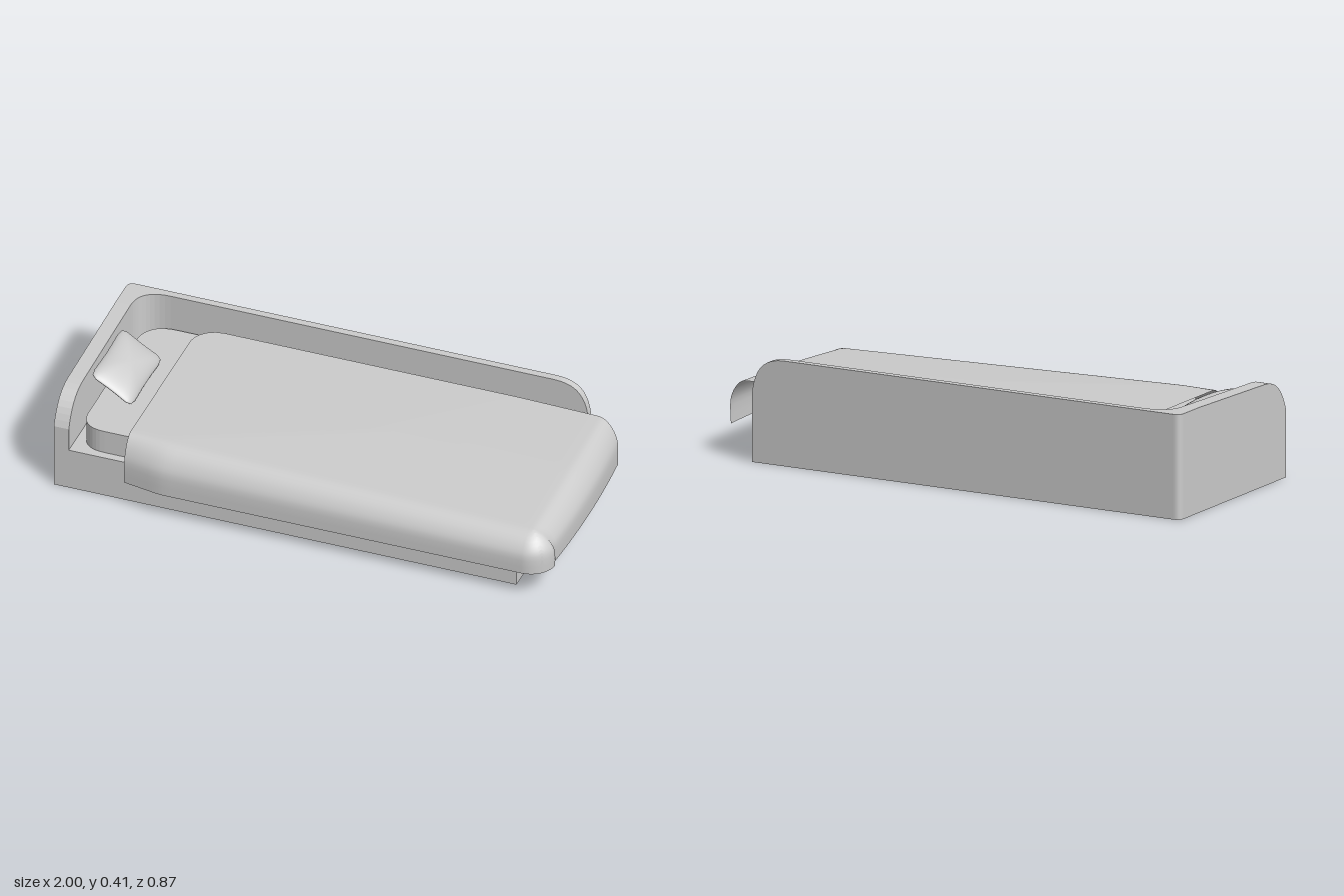
import * as THREE from 'three';

const material = new THREE.MeshStandardMaterial({ color: 0xcccccc });
const clothMaterial = new THREE.MeshStandardMaterial({ color: 0xcccccc, side: THREE.DoubleSide });

function add(group, name, geometry, mat = material) {
  const mesh = new THREE.Mesh(geometry, mat);
  mesh.name = name;
  group.add(mesh);
  return mesh;
}

// Extrude a floor plan (drawn with y = -z) from height y0 to y1
function extrudePlan(shape, y0, y1) {
  const g = new THREE.ExtrudeGeometry(shape, { depth: y1 - y0, bevelEnabled: false, curveSegments: 10 });
  return g.rotateX(-Math.PI / 2).translate(0, y0, 0);
}

// Plan rectangle with separate corner radii: head-front, foot-front, foot-back, head-back
function planRect(x0, x1, z0, z1, [hf, ff, fb, hb]) {
  const s = new THREE.Shape();
  const yf = -z1, yb = -z0;
  s.moveTo(x0 + hf, yf);
  s.lineTo(x1 - ff, yf);
  if (ff) s.quadraticCurveTo(x1, yf, x1, yf + ff);
  s.lineTo(x1, yb - fb);
  if (fb) s.quadraticCurveTo(x1, yb, x1 - fb, yb);
  s.lineTo(x0 + hb, yb);
  if (hb) s.quadraticCurveTo(x0, yb, x0, yb - hb);
  if (hf) {
    s.lineTo(x0, yf + hf);
    s.quadraticCurveTo(x0, yf, x0 + hf, yf);
  }
  return s;
}

// Thin blanket: flat top whose foot and front sides roll over and hang down
function blanketGeometry() {
  const drape = new THREE.CatmullRomCurve3([
    [0, 0], [0.03, 0.005], [0.065, 0.032], [0.09, 0.07], [0.1, 0.105], [0.1, 0.188],
  ].map(([out, drop]) => new THREE.Vector3(out, drop, 0)));
  const nx = 48, nz = 24, hang = 12;
  const x0 = -0.7, x1 = 0.9, z0 = -0.387, z1 = 0.333, r = 0.1;
  const positions = [], indices = [];
  const cols = nz + hang + 1;
  for (let i = 0; i <= nx + hang; i++) {
    for (let j = 0; j < cols; j++) {
      const hi = Math.max(0, i - nx), hj = Math.max(0, j - nz);
      let x = x0 + (x1 - x0) * Math.min(i, nx) / nx;
      let z = z0 + (z1 - z0) * Math.min(j, nz) / nz;
      // gentle slope towards the front foot corner, starting at a diagonal crease
      const k = Math.max(0, z + 0.453 * x - 0.083);
      const foot = Math.max(0, 0.9 * (x - 0.15) - Math.abs(z)) * 0.025;
      let y = 0.303 - Math.max(0.055 * k, foot);
      // rounded corner at the head, by the wall
      const cx = Math.max(0, x0 + r - x), cz = Math.max(0, z0 + r - z);
      if (cx > 0 && cz > 0) {
        const f = Math.max(cx, cz) / Math.hypot(cx, cz);
        x = x0 + r - cx * f;
        z = z0 + r - cz * f;
      }
      // hanging sides
      const h = Math.max(hi, hj);
      if (h > 0) {
        const p = drape.getPoint(h / hang);
        const len = Math.hypot(hi, hj);
        const narrow = 0.72 + 0.28 * Math.min(1, (x - x0) / 0.15);
        const bow = 1 - 0.18 * (z / 0.4) ** 2;
        y += (0.115 - y) * p.y / 0.188;
        x += p.x * hi / len * (hj ? 1 : bow);
        z += p.x * hj / len * narrow;
        if (j === 0) z += 0.025 * h / hang;
      }
      positions.push(x, y, z);
      if (i > 0 && j > 0) {
        const d = i * cols + j, c = d - 1, b = d - cols, a = b - 1;
        indices.push(a, b, c, b, d, c);
      }
    }
  }
  const g = new THREE.BufferGeometry();
  g.setAttribute('position', new THREE.Float32BufferAttribute(positions, 3));
  g.setIndex(indices);
  g.computeVertexNormals();
  return g;
}

// Cushion: sphere pushed out to a soft square with slightly concave sides
function pillowGeometry(length, thickness, width) {
  const g = new THREE.SphereGeometry(1, 40, 28);
  const p = g.attributes.position;
  for (let i = 0; i < p.count; i++) {
    const sx = p.getX(i), sy = p.getY(i), sz = p.getZ(i);
    // the small constant keeps the poles finite
    const square = Math.hypot(sx, sz) / Math.pow(sx ** 8 + sz ** 8 + 1e-20, 1 / 8);
    const u = sx * square, v = sz * square;
    p.setXYZ(i,
      u * length / 2 * (0.93 + 0.07 * v * v),
      Math.sign(sy) * Math.pow(Math.abs(sy), 1.3) * thickness / 2,
      v * width / 2 * (0.95 + 0.05 * u * u));
  }
  g.computeVertexNormals();
  return g;
}

export function createModel() {
  const group = new THREE.Group();
  const floor = 0.17, top = 0.405;

  add(group, 'base', extrudePlan(planRect(-1, 0.85, -0.435, 0.355, [0, 0, 0, 0.03]), 0, floor));

  // Corner where both walls meet, rounded outside and filleted inside
  const corner = new THREE.Shape();
  corner.moveTo(-1, 0.3);
  corner.lineTo(-0.94, 0.3);
  corner.quadraticCurveTo(-0.94, 0.405, -0.82, 0.405);
  corner.lineTo(-0.82, 0.435);
  corner.lineTo(-0.97, 0.435);
  corner.quadraticCurveTo(-1, 0.435, -1, 0.405);
  add(group, 'wallCorner', extrudePlan(corner, floor, top));

  // Long wall with a rounded foot end
  const back = new THREE.Shape();
  back.moveTo(-0.82, floor);
  back.lineTo(0.85, floor);
  back.lineTo(0.85, 0.26);
  back.bezierCurveTo(0.84, 0.35, 0.81, top, 0.71, top);
  back.lineTo(-0.82, top);
  add(group, 'backWall', new THREE.ExtrudeGeometry(back, { depth: 0.03, bevelEnabled: false, curveSegments: 10 })
    .translate(0, 0, -0.435));

  // Head wall with a rounded front end
  const head = new THREE.Shape();
  head.moveTo(-0.3, floor);
  head.lineTo(0.355, floor);
  head.lineTo(0.355, 0.265);
  head.bezierCurveTo(0.33, 0.335, 0.29, 0.388, 0.2, 0.39);
  head.lineTo(-0.3, top);
  add(group, 'headWall', new THREE.ExtrudeGeometry(head, { depth: 0.06, bevelEnabled: false, curveSegments: 8 })
    .rotateY(-Math.PI / 2).translate(-0.94, 0, 0));

  add(group, 'mattress', extrudePlan(planRect(-0.91, 0.83, -0.392, 0.322, [0.1, 0.06, 0.06, 0.12]), floor, 0.266));
  add(group, 'blanket', blanketGeometry(), clothMaterial);

  // Pillow leaning on the head wall
  const pillow = add(group, 'pillow', pillowGeometry(0.2, 0.075, 0.34));
  pillow.position.set(-0.85, 0.327, -0.018);
  pillow.rotation.z = -0.56;

  return group;
}
